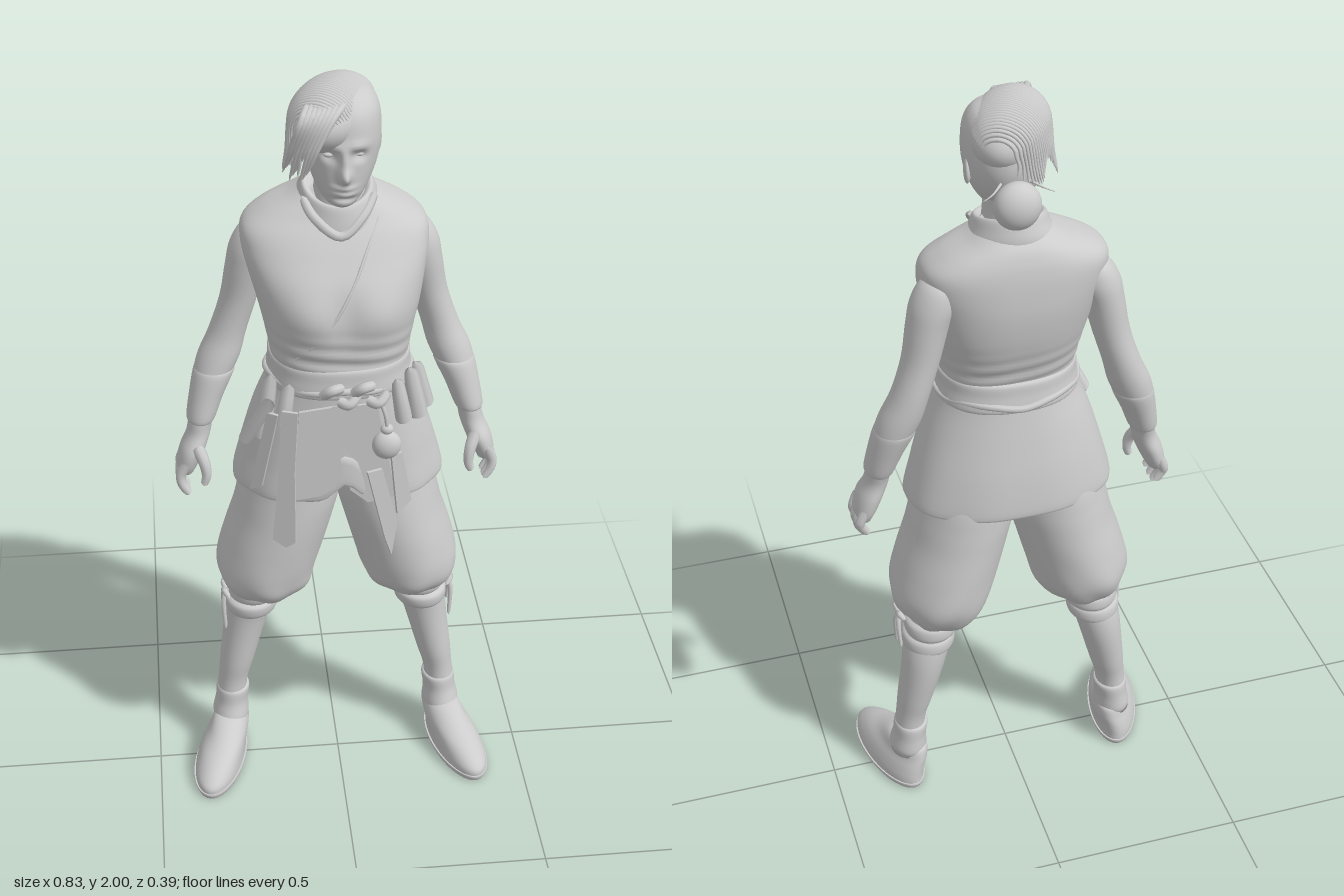
import * as THREE from 'three';

const grey = new THREE.MeshStandardMaterial({ color: 0xcccccc });
grey.name = 'clay grey';
const V = (p) => new THREE.Vector3(...p);
const bump = (d, w) => Math.exp(-(d * d) / (w * w));

// Smoothly interpolated section [y, xMin, xMax, zMin, zMax]; t runs over the section list.
function sectionAt(secs, t) {
  const i = Math.min(Math.floor(t), secs.length - 2), f = t - i;
  const s = (k) => secs[Math.max(0, Math.min(secs.length - 1, k))];
  return s(i).map((b, k) => {
    const a = s(i - 1)[k], c = s(i + 1)[k], d = s(i + 2)[k];
    return b + 0.5 * f * (c - a + f * (2 * a - 5 * b + 4 * c - d + f * (3 * (b - c) + d - a)));
  });
}

// Front surface depth of a loft at a given x and y.
function frontZ(secs, x, y, e) {
  let k = 0;
  while (k < secs.length - 2 && secs[k + 1][0] > y) k++;
  const f = Math.max(0, Math.min(1, (y - secs[k][0]) / (secs[k + 1][0] - secs[k][0])));
  const [, x0, x1, z0, z1] = sectionAt(secs, k + f);
  const u = Math.min(1, Math.abs((2 * x - x0 - x1) / (x1 - x0)));
  return (z0 + z1) / 2 + ((z1 - z0) / 2) * Math.pow(1 - Math.pow(u, e), 1 / e);
}

// Closed loft through sections listed from top to bottom; rule may move each vertex.
function loft(secs, { e = 2, n = 40, sub = 5, rule } = {}) {
  const pos = [], idx = [], rows = (secs.length - 1) * sub;
  const mid = (s) => [(s[1] + s[2]) / 2, s[0], (s[3] + s[4]) / 2];
  const put = (p, a, t) => { const v = V(p); if (rule) rule(v, a, t); pos.push(v.x, v.y, v.z); };
  for (let r = 0; r <= rows; r++) {
    const s = sectionAt(secs, r / sub), [cx, y, cz] = mid(s);
    for (let j = 0; j < n; j++) {
      const a = (j / n) * Math.PI * 2, c = Math.cos(a), d = Math.sin(a);
      put([cx + ((s[2] - s[1]) / 2) * Math.sign(c) * Math.abs(c) ** (2 / e), y,
        cz + ((s[4] - s[3]) / 2) * Math.sign(d) * Math.abs(d) ** (2 / e)], a, r / rows);
      const k = (j + 1) % n, A = r * n + j, B = r * n + k;
      if (r < rows) idx.push(A, B, A + n, B, B + n, A + n);
      if (r === 0) idx.push((rows + 1) * n, B, A);
      if (r === rows) idx.push((rows + 1) * n + 1, A, B);
    }
  }
  put(mid(secs[0]), 0, 0);
  put(mid(secs[secs.length - 1]), 0, 1);
  const g = new THREE.BufferGeometry();
  g.setAttribute('position', new THREE.Float32BufferAttribute(pos, 3));
  g.setIndex(idx);
  g.computeVertexNormals();
  return g;
}

// Tapered, round-ended tube through points.
function strand(pts, r0, r1 = r0, seg = 14, closed = false) {
  const curve = new THREE.CatmullRomCurve3(pts.map(V), closed);
  const g = new THREE.TubeGeometry(curve, seg, 1, 8, closed), p = g.attributes.position, v = new THREE.Vector3();
  for (let i = 0; i < p.count; i++) {
    const t = Math.floor(i / 9) / seg, c = curve.getPointAt(t);
    const r = (r0 + (r1 - r0) * t) * (closed ? 1 : Math.sqrt(Math.max(0, 1 - (2 * t - 1) ** 10)));
    v.fromBufferAttribute(p, i).sub(c).multiplyScalar(r).add(c);
    p.setXYZ(i, v.x, v.y, v.z);
  }
  return g;
}

const ball = (x, y, z, rx, ry, rz, turn = 0) =>
  new THREE.SphereGeometry(1, 32, 24).scale(rx, ry, rz).rotateY(turn).translate(x, y, z);

// Thin hanging cloth cut from an outline in x and y, turned about its own middle.
function cloth(pts, z, turn = 0) {
  const mx = pts.reduce((s, p) => s + p[0], 0) / pts.length;
  const shape = new THREE.Shape(pts.map(([x, y]) => new THREE.Vector2(x - mx, y)));
  return new THREE.ExtrudeGeometry(shape, { depth: 0.008, bevelEnabled: false }).rotateY(turn).translate(mx, 0, z);
}

function mirrored(g) {
  const m = g.clone().scale(-1, 1, 1), ix = m.index.array;
  for (let i = 0; i < ix.length; i += 3) [ix[i], ix[i + 1]] = [ix[i + 1], ix[i]];
  return m;
}

export function createModel() {
  const model = new THREE.Group();
  const add = (name, g, parent = model) => {
    const m = new THREE.Mesh(g, grey);
    m.name = name;
    parent.add(m);
  };
  const pair = (name, g) => { add(name + 'Left', g); add(name + 'Right', mirrored(g)); };

  // Head with sculpted brow, eyes, nose, lips
  add('head', loft([
    [1.98, -0.02, 0.045, -0.05, 0.04], [1.965, -0.05, 0.075, -0.09, 0.08], [1.93, -0.075, 0.095, -0.115, 0.11],
    [1.87, -0.08, 0.1, -0.125, 0.12], [1.82, -0.077, 0.093, -0.115, 0.118], [1.78, -0.067, 0.078, -0.09, 0.118],
    [1.745, -0.052, 0.058, -0.05, 0.116], [1.725, -0.035, 0.038, 0.0, 0.11], [1.715, -0.015, 0.018, 0.04, 0.095],
  ], { e: 2.1, n: 96, sub: 8, rule: (v) => {
    if (v.z < 0.03) return;
    const x = v.x - 0.004, y = v.y;
    v.z += 0.03 * bump(x, 0.013) * bump(y - 1.803, 0.018) + 0.014 * bump(x, 0.011) * bump(y - 1.835, 0.03)
      + 0.007 * bump(Math.abs(x) - 0.03, 0.025) * bump(y - 1.872, 0.011)
      - 0.014 * bump(Math.abs(x) - 0.034, 0.018) * bump(y - 1.848, 0.013)
      + 0.009 * bump(x, 0.024) * (bump(y - 1.772, 0.006) + bump(y - 1.757, 0.006))
      - 0.006 * bump(x, 0.03) * bump(y - 1.743, 0.007);
  } }));
  for (const s of [-1, 1]) {
    add('eye', ball(0.004 + s * 0.034, 1.848, 0.093, 0.014, 0.007, 0.011));
    add('ear', ball(0.009 + s * 0.086, 1.835, -0.02, 0.009, 0.033, 0.02, -s * 0.25));
  }
  add('neck', loft([[1.8, -0.05, 0.06, -0.09, 0.04], [1.72, -0.055, 0.06, -0.09, 0.045], [1.62, -0.08, 0.08, -0.11, 0.05]]));

  // Hair swept over the crown to one side: a cap with fine locks lying along it
  const hair = new THREE.Group();
  hair.name = 'hair';
  model.add(hair);
  const cap = { at: [-0.012, 1.912, 0.006], r: [0.092, 0.08, 0.146], turn: -0.48 };
  add('hairCap', ball(...cap.at, ...cap.r, cap.turn), hair);
  const onCap = (w, phi, fall = 0, out = 1) => {
    const k = Math.sqrt(1 - w * w) * out;
    return V([cap.r[0] * k * Math.cos(phi), cap.r[1] * k * Math.sin(phi) - fall, cap.r[2] * w])
      .applyAxisAngle(V([0, 1, 0]), cap.turn).add(V(cap.at)).toArray();
  };
  for (let i = 0; i < 36; i++) {
    const w = -0.9 + (1.86 * i) / 35, wob = Math.sin(i * 12.9), drop = 0.055 + 0.04 * (w + 0.9) + 0.028 * wob;
    add('hairLock', strand([onCap(w, 0.35), onCap(w, 0.9), onCap(w, 1.55), onCap(w, 2.2), onCap(w, 2.75), onCap(w, 3.14),
      onCap(w + 0.02, 3.14, drop * 0.5, 1.07), onCap(w + 0.02 * wob, 3.14, drop, 1.1 + 0.12 * wob)], 0.006, 0.003, 24), hair);
  }
  for (let i = 0; i < 8; i++) {
    add('fringeLock', strand([[0.01 - 0.012 * i, 1.965, 0.08], [-0.025 - 0.01 * i, 1.945, 0.135],
      [-0.06 - 0.008 * i, 1.88, 0.146 - 0.004 * i], [-0.085 - 0.007 * i, 1.81 - 0.014 * (i % 3), 0.125 - 0.008 * i]], 0.011, 0.003), hair);
  }
  add('hairBun', ball(0.013, 1.795, -0.142, 0.056, 0.058, 0.043), hair);
  for (const s of [-1, 1]) add('napeWisp', strand([[0.01 + s * 0.03, 1.84, -0.11], [0.01 + s * 0.06, 1.83, -0.14], [0.01 + s * 0.085, 1.82, -0.148]], 0.004, 0.001), hair);

  // Sleeveless wrapped vest
  const vest = [
    [1.715, -0.075, 0.075, -0.13, 0.0], [1.69, -0.115, 0.112, -0.16, 0.03], [1.66, -0.18, 0.172, -0.175, 0.048],
    [1.625, -0.225, 0.215, -0.183, 0.075], [1.58, -0.23, 0.222, -0.187, 0.105], [1.52, -0.216, 0.212, -0.187, 0.14], [1.45, -0.197, 0.199, -0.178, 0.158],
    [1.39, -0.183, 0.185, -0.163, 0.16], [1.32, -0.17, 0.172, -0.142, 0.152], [1.28, -0.168, 0.17, -0.14, 0.15],
  ];
  add('vest', loft(vest, { e: 2.5, n: 72, sub: 8, rule: (v) => {
    if (v.z > 0.03) v.z += 0.014 * bump(Math.abs(v.x) - 0.085, 0.06) * bump(v.y - 1.46, 0.06) - 0.006 * bump(v.x, 0.03) * bump(v.y - 1.46, 0.08);
    v.z += 0.003 * bump(v.y - 1.34, 0.05) * Math.sin(v.y * 150 + v.x * 14);
  } }));
  const onVest = (x, y) => [x, y, frontZ(vest, x, y, 2.5) - 0.0005];
  add('lapel', strand([onVest(0.095, 1.665), onVest(0.06, 1.6), onVest(0.03, 1.54), onVest(-0.01, 1.47), onVest(-0.06, 1.4), onVest(-0.12, 1.33)], 0.004, 0.004, 30));
  add('collar', loft([[1.715, -0.06, 0.065, -0.11, 0.04], [1.728, -0.08, 0.083, -0.133, 0.058], [1.7, -0.093, 0.097, -0.145, 0.068],
    [1.66, -0.115, 0.113, -0.152, 0.074], [1.62, -0.12, 0.118, -0.14, 0.072]], { rule: (v) => { v.y -= 0.3 * (v.z + 0.04); } }));
  add('collarFold', strand([[-0.085, 1.705, 0.0], [-0.06, 1.67, 0.05], [0.0, 1.63, 0.073], [0.05, 1.665, 0.053], [0.09, 1.71, 0.0]], 0.012, 0.012, 24));

  // Arms, wrist wraps, hands
  pair('arm', loft([
    [1.612, 0.15, 0.19, -0.11, -0.06], [1.595, 0.14, 0.226, -0.14, -0.035], [1.55, 0.14, 0.254, -0.152, -0.026],
    [1.49, 0.165, 0.267, -0.152, -0.032], [1.4, 0.19, 0.283, -0.15, -0.045], [1.31, 0.218, 0.313, -0.152, -0.048],
    [1.24, 0.238, 0.345, -0.148, -0.038], [1.17, 0.272, 0.362, -0.135, -0.03], [1.08, 0.31, 0.374, -0.108, -0.02],
    [1.04, 0.32, 0.382, -0.1, -0.015], [1.0, 0.334, 0.4, -0.103, 0.002], [0.96, 0.352, 0.41, -0.1, 0.0], [0.935, 0.365, 0.407, -0.09, -0.01],
  ], { n: 32 }));
  pair('wristWrap', loft([[1.212, 0.262, 0.346, -0.135, -0.045], [1.205, 0.252, 0.356, -0.144, -0.031], [1.14, 0.282, 0.37, -0.129, -0.022],
    [1.08, 0.306, 0.379, -0.113, -0.016], [1.075, 0.315, 0.367, -0.1, -0.03]], { n: 32 }));
  for (let i = 0; i < 4; i++) {
    const z = -0.088 + i * 0.027, d = i === 0 ? 0.02 : i === 3 ? 0.008 : 0;
    pair('finger', strand([[0.385, 0.975, z], [0.401, 0.935, z], [0.399, 0.905 + d, z + 0.003], [0.38, 0.873 + d, z + 0.006]], 0.0145, 0.01));
  }
  pair('thumb', strand([[0.358, 1.02, -0.015], [0.34, 0.98, 0.008], [0.336, 0.945, 0.014], [0.345, 0.915, 0.014]], 0.018, 0.01));

  // Flared tunic skirt with a split front, and waist sash
  const skirt = [
    [1.3, -0.168, 0.17, -0.142, 0.15], [1.24, -0.176, 0.178, -0.152, 0.154], [1.15, -0.212, 0.21, -0.17, 0.156],
    [1.05, -0.242, 0.242, -0.188, 0.157], [0.95, -0.268, 0.268, -0.197, 0.16], [0.96, -0.25, 0.25, -0.18, 0.145], [1.06, -0.2, 0.2, -0.15, 0.12],
  ];
  add('tunicSkirt', loft(skirt, { e: 2.2, n: 96, rule: (v, a, t) => {
    const f = t * t, front = Math.max(0, Math.sin(a)), wave = 0.009 * f * (0.3 + 0.7 * front) * Math.sin(a * 9);
    v.x += wave * Math.cos(a);
    v.z += wave * Math.sin(a);
    if (t > 0.5) v.y += 0.05 * front * bump(v.x - 0.005, 0.04) - 0.015 * Math.abs(Math.cos(a)) * front;
  } }));
  add('sash', loft([[1.315, -0.16, 0.16, -0.135, 0.14], [1.31, -0.173, 0.175, -0.148, 0.156], [1.28, -0.175, 0.177, -0.151, 0.159],
    [1.24, -0.18, 0.182, -0.156, 0.161], [1.235, -0.165, 0.165, -0.14, 0.145]], { e: 2.3, n: 64 }));
  add('frontPanelRight', cloth([[-0.11, 1.21], [-0.03, 1.22], [0.0, 1.0], [-0.06, 0.965], [-0.13, 0.955]], 0.155));
  add('frontPanelLeft', cloth([[-0.03, 1.22], [0.08, 1.22], [0.13, 0.95], [0.06, 0.935], [0.015, 0.975]], 0.15));

  // Rope belt, knots and hanging gear
  const ring = Array.from({ length: 16 }, (_, i) => {
    const a = (i / 16) * Math.PI * 2;
    return [0.179 * Math.cos(a), 1.255 + 0.006 * Math.sin(a * 5), 0.002 + 0.159 * Math.sin(a)];
  });
  add('ropeBelt', strand(ring, 0.009, 0.009, 96, true));
  [[-0.03, 1.265], [0.01, 1.25], [0.045, 1.268], [0.08, 1.25]].forEach(([x, y], i) =>
    add('beltKnot', strand([[x - 0.026, y - 0.012, 0.163], [x, y + (i % 2 ? -0.014 : 0.012), 0.179], [x + 0.026, y + 0.008, 0.161]], 0.014, 0.013)));
  add('gourdCord', strand([[0.08, 1.25, 0.167], [0.1, 1.19, 0.172], [0.103, 1.13, 0.172]], 0.005));
  add('gourd', ball(0.103, 1.11, 0.168, 0.036, 0.038, 0.026));
  add('gourdCap', ball(0.103, 1.155, 0.168, 0.016, 0.014, 0.014));
  for (const [x, z, y0, y1, r] of [[0.13, 0.125, 1.27, 1.15, 0.02], [0.165, 0.09, 1.28, 1.14, 0.023], [0.185, 0.045, 1.27, 1.14, 0.023],
    [-0.13, 0.125, 1.27, 1.16, 0.02], [-0.172, 0.09, 1.28, 1.1, 0.022]])
    add('beltPouch', strand([[x, y0, z], [x * 1.08, (y0 + y1) / 2, z * 1.08], [x * 1.16, y1, z * 1.1]], r * 0.8, r * 1.1));
  add('scrollTube', strand([[-0.175, 1.23, 0.13], [-0.21, 1.16, 0.11], [-0.245, 1.09, 0.088]], 0.018));
  add('ribbonRight', cloth([[-0.15, 1.22], [-0.11, 1.22], [-0.12, 1.05], [-0.12, 0.84], [-0.145, 0.82], [-0.18, 0.84], [-0.165, 1.0]], 0.165, -0.35));
  add('ribbonRightShort', cloth([[-0.18, 1.2], [-0.15, 1.2], [-0.2, 0.98], [-0.235, 0.96]], 0.125, -0.6));
  add('ribbonLeft', cloth([[0.05, 1.04], [0.09, 1.04], [0.135, 0.87], [0.12, 0.77], [0.1, 0.83]], 0.16, 0.35));
  add('ribbonLeftShort', cloth([[0.11, 1.08], [0.14, 1.08], [0.17, 0.93], [0.13, 0.9]], 0.155, 0.4));

  // Baggy trousers gathered below the knee
  pair('trouserLeg', loft([
    [1.08, -0.01, 0.19, -0.14, 0.1], [0.98, -0.012, 0.232, -0.175, 0.125], [0.9, -0.008, 0.255, -0.185, 0.133], [0.83, 0.008, 0.272, -0.19, 0.137],
    [0.75, 0.03, 0.298, -0.196, 0.138], [0.67, 0.052, 0.318, -0.198, 0.135], [0.62, 0.066, 0.314, -0.183, 0.122],
    [0.58, 0.1, 0.288, -0.155, 0.08], [0.56, 0.14, 0.27, -0.12, 0.03],
  ], { n: 64, sub: 6, rule: (v, a, t) => {
    const k = 0.005 * t * bump(t - 0.85, 0.25) * Math.sin(a * 7 + v.y * 25);
    v.x += k * Math.cos(a);
    v.z += k * Math.sin(a);
  } }));
  pair('shin', loft([
    [0.6, 0.15, 0.275, -0.12, 0.02], [0.54, 0.158, 0.285, -0.122, 0.015], [0.47, 0.178, 0.3, -0.132, 0.002],
    [0.4, 0.198, 0.308, -0.132, -0.003], [0.3, 0.226, 0.32, -0.12, -0.006], [0.22, 0.248, 0.328, -0.108, -0.012], [0.1, 0.255, 0.345, -0.112, 0.0],
  ], { n: 36 }));
  for (const [y, x0, x1] of [[0.545, 0.154, 0.288], [0.5, 0.164, 0.296]])
    pair('kneeWrap', loft([[y + 0.024, x0 + 0.01, x1 - 0.01, -0.115, 0.008], [y + 0.012, x0 - 0.004, x1 + 0.003, -0.129, 0.022],
      [y - 0.016, x0 - 0.002, x1 + 0.004, -0.131, 0.018], [y - 0.03, x0 + 0.014, x1 - 0.008, -0.12, 0.004]], { n: 36 }));
  for (const [dz, y] of [[-0.03, 0.46], [0.02, 0.44]])
    pair('kneeTie', strand([[0.29, 0.565, -0.02], [0.304, 0.54, -0.02 + dz * 0.5], [0.303, y, -0.02 + dz]], 0.007, 0.005));
  pair('kneeBow', strand([[0.29, 0.555, -0.055], [0.304, 0.572, -0.04], [0.298, 0.556, -0.02], [0.304, 0.572, 0.0], [0.29, 0.555, 0.018]], 0.008));

  // Ankle wraps and soft shoes, toes turned slightly out
  pair('ankleWrap', loft([[0.207, 0.257, 0.322, -0.1, -0.017], [0.2, 0.243, 0.333, -0.113, -0.007], [0.16, 0.248, 0.337, -0.115, -0.003],
    [0.12, 0.247, 0.346, -0.118, 0.01], [0.1, 0.25, 0.34, -0.11, 0.01]], { n: 36 }));
  const turn = (v) => { v.x += 0.2 * (v.z + 0.04); };
  pair('shoe', loft([[0.13, 0.265, 0.33, -0.105, 0.0], [0.12, 0.253, 0.342, -0.117, 0.028], [0.092, 0.247, 0.354, -0.123, 0.084],
    [0.065, 0.249, 0.37, -0.127, 0.142], [0.035, 0.252, 0.382, -0.129, 0.183], [0.012, 0.252, 0.384, -0.129, 0.187]], { n: 48, rule: turn }));
  pair('sole', loft([[0.016, 0.248, 0.388, -0.132, 0.19], [0.01, 0.248, 0.388, -0.132, 0.19], [0, 0.252, 0.384, -0.128, 0.186]], { n: 48, rule: turn }));

  return model;
}
